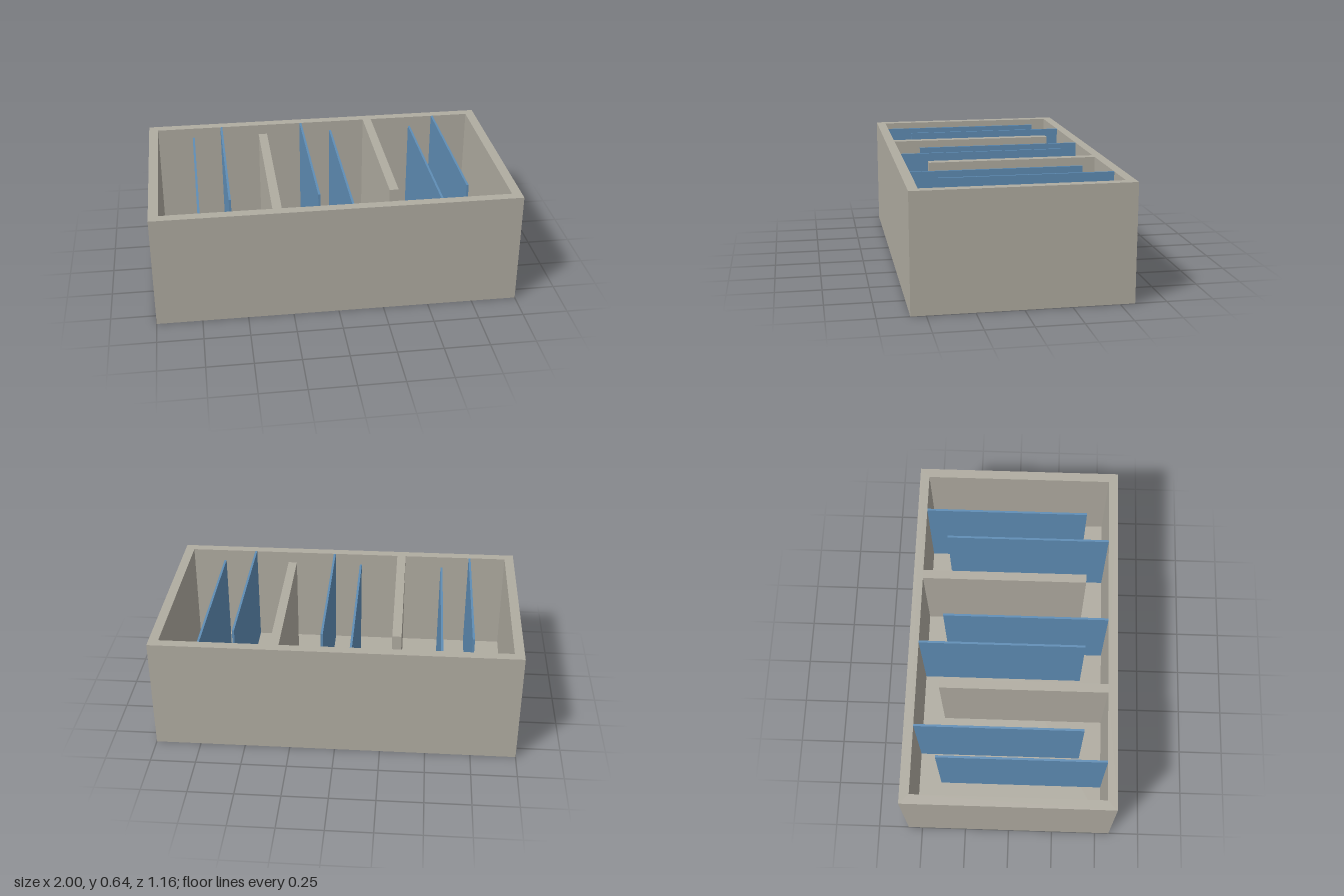
import * as THREE from 'three';

const W = 1, D = 0.58, H = 0.64;      // half width, half depth, height
const IX = 0.947, IZ = 0.527;         // inner half width and half depth
const FLOOR = 0.053, END = 0.4;       // floor thickness, where the free ends stop

export function createModel() {
  const concrete = new THREE.MeshStandardMaterial({ color: 0xb0aca1 });
  concrete.name = 'concrete';
  const blue = new THREE.MeshStandardMaterial({ color: 0x5f8db5 });
  blue.name = 'baffle blue';

  const model = new THREE.Group();
  model.name = 'baffledTank';

  const add = (name, geometry, material, x = 0, y = 0, z = 0) => {
    const mesh = new THREE.Mesh(geometry, material);
    mesh.name = name;
    mesh.position.set(x, y, z);
    model.add(mesh);
  };

  // Outer walls and two partitions as one outline, drawn in x and -z
  const path = (points) => points.map(([x, z]) => new THREE.Vector2(x, -z));
  const walls = new THREE.Shape(path([[-W, D], [W, D], [W, -D], [-W, -D]]));
  walls.holes.push(new THREE.Path(path([
    [-IX, IZ], [-IX, -IZ], [0.3, -IZ], [0.3, END], [0.35, END], [0.35, -IZ],
    [IX, -IZ], [IX, IZ], [-0.3, IZ], [-0.3, -END], [-0.35, -END], [-0.35, IZ],
  ])));
  const wallGeometry = new THREE.ExtrudeGeometry(walls, { depth: H, bevelEnabled: false });
  wallGeometry.rotateX(-Math.PI / 2);
  add('wallsAndPartitions', wallGeometry, concrete);

  // Floor slab inside the walls
  add('floor', new THREE.BoxGeometry(2 * IX, FLOOR, 2 * IZ), concrete, 0, FLOOR / 2, 0);

  // Thin baffles, each joined to the front (1) or back (-1) wall
  const baffles = [[-0.737, 1], [-0.567, -1], [-0.085, -1], [0.081, 1], [0.564, 1], [0.733, -1]];
  const baffleGeometry = new THREE.BoxGeometry(0.012, H - FLOOR, IZ + END);
  baffles.forEach(([x, side], i) => {
    add(`baffle${i + 1}`, baffleGeometry, blue, x, (H + FLOOR) / 2, side * (IZ - END) / 2);
  });

  return model;
}
